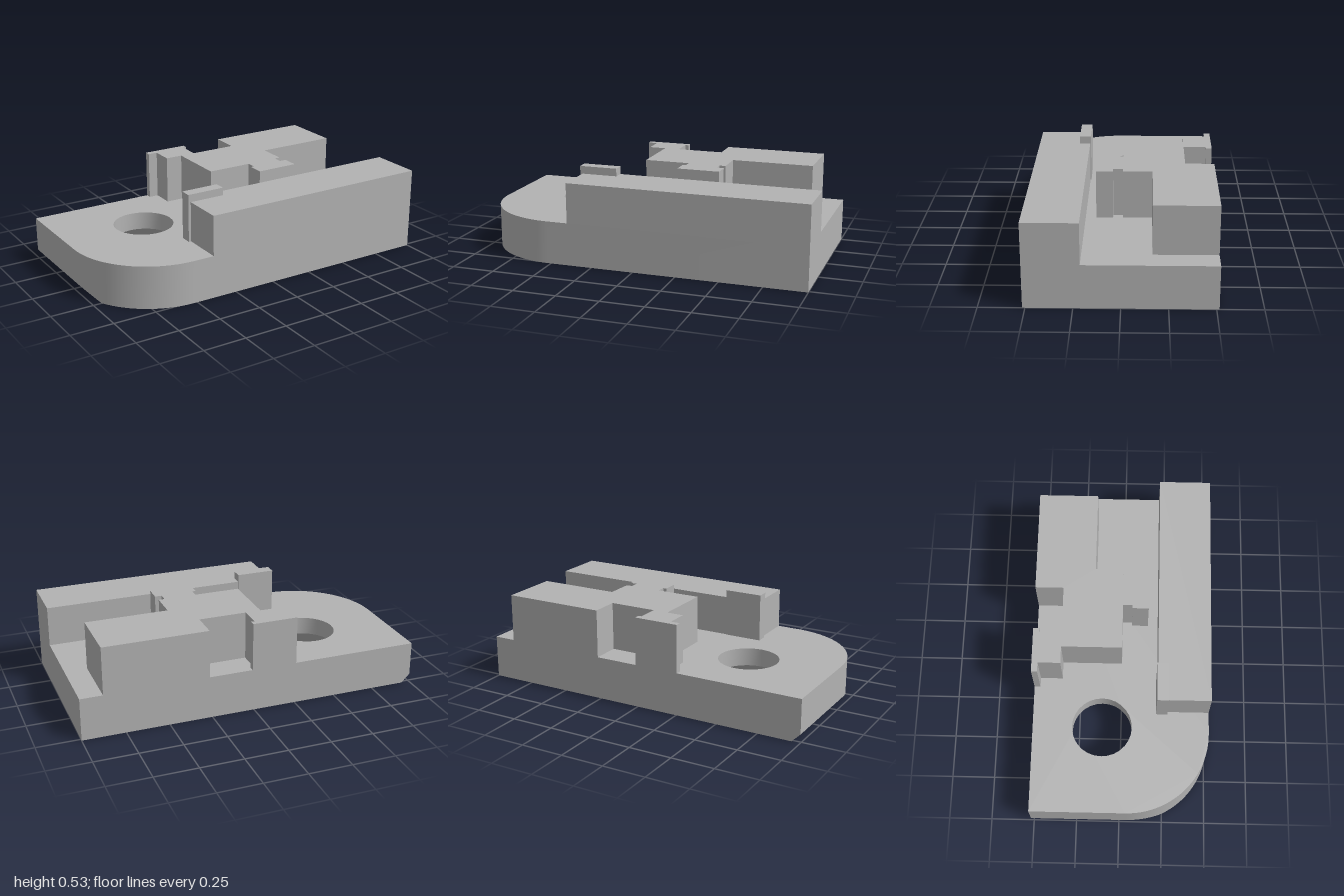
import * as THREE from 'three';
import { mergeGeometries, toCreasedNormals } from 'three/addons/utils/BufferGeometryUtils.js';

const grey = new THREE.MeshStandardMaterial({ color: 0xb2b2b2 });
grey.name = 'grey';

const BASE_H = 0.25, HALF_D = 0.515, CHAMFER_X = -0.95;
const V2 = (x, y) => new THREE.Vector2(x, y);

// Side faces between successive closed rings of [x, y, z] points
function loft(rings) {
  const pos = [];
  for (let r = 0; r < rings.length - 1; r++) {
    const lo = rings[r], hi = rings[r + 1], n = lo.length;
    const same = i => lo[i].every((v, k) => Math.abs(v - hi[i][k]) < 1e-6);
    for (let i = 0; i < n; i++) {
      const j = (i + 1) % n;
      if (!same(j)) pos.push(...lo[i], ...lo[j], ...hi[j]);
      if (!same(i)) pos.push(...lo[i], ...hi[j], ...hi[i]);
    }
  }
  const g = new THREE.BufferGeometry();
  g.setAttribute('position', new THREE.Float32BufferAttribute(pos, 3));
  return toCreasedNormals(g, 0.5);
}

// Flat horizontal face with a hole, given in (x, -z); side is 1 for up, -1 for down
function cap(outline, hole, y, side) {
  const place = pts => pts.map(p => V2(p.x, p.y * side));
  const shape = new THREE.Shape(place(outline));
  shape.holes.push(new THREE.Path(place(hole)));
  const g = new THREE.ShapeGeometry(shape).rotateX(-side * Math.PI / 2).translate(0, y, 0).toNonIndexed();
  g.deleteAttribute('uv');
  return g;
}

function circle(r, n = 28) {
  return Array.from({ length: n }, (_, i) => {
    const a = -i / n * Math.PI * 2;
    return V2(-0.495 + r * Math.cos(a), 0.11 + r * Math.sin(a));
  });
}

// Plate with one round corner, a chamfered end and a countersunk hole
function baseGeometry() {
  const outline = [V2(1, -HALF_D), V2(1, HALF_D), V2(-1, HALF_D)];
  for (let i = 0; i <= 24; i++) {
    const a = Math.PI * (1 + i / 48);
    outline.push(V2(-0.52 + 0.48 * Math.cos(a), -0.035 + 0.48 * Math.sin(a)));
  }
  const foot = outline.map(p => V2(Math.max(p.x, CHAMFER_X), p.y));
  const at = (pts, y) => pts.map(p => [p.x, y, -p.y]);
  const chamferTop = outline.map(p => [p.x, Math.max(0, CHAMFER_X - p.x), -p.y]);
  const mouth = circle(0.32), bore = circle(0.175);
  return mergeGeometries([
    loft([at(foot, 0), chamferTop, at(outline, BASE_H)]),
    loft([at(mouth, 0), at(bore, 0.145), at(bore, BASE_H)]),
    cap(outline, bore, BASE_H, 1),
    cap(foot, mouth, 0, -1),
  ]);
}

// Stepped raised block, drawn as x, z corners
function blockGeometry() {
  const corners = [
    [-0.255, -HALF_D], [-0.255, -0.48], [-0.2, -0.48], [-0.2, -0.35], [-0.1, -0.35], [-0.1, 0],
    [0.165, 0], [0.165, 0.055], [0.145, 0.055], [0.145, 0.15], [0.395, 0.15], [0.395, 0.055],
    [0.355, 0.055], [0.355, 0], [0.39, 0], [0.39, -0.165], [0.87, -0.165], [0.87, -HALF_D],
    [0.265, -HALF_D], [0.265, -0.35], [-0.01, -0.35], [-0.01, -0.48], [0.01, -0.48], [0.01, -HALF_D],
  ];
  const shape = new THREE.Shape(corners.map(([x, z]) => V2(x, -z)));
  return new THREE.ExtrudeGeometry(shape, { depth: 0.53 - BASE_H, bevelEnabled: false })
    .rotateX(-Math.PI / 2).translate(0, BASE_H, 0);
}

// Box standing on the base, from its limits
function box(x0, x1, z0, z1, top) {
  return new THREE.BoxGeometry(x1 - x0, top - BASE_H, z1 - z0)
    .translate((x0 + x1) / 2, (top + BASE_H) / 2, (z0 + z1) / 2);
}

export function createModel() {
  const model = new THREE.Group();
  model.name = 'steppedBracket';
  const add = (name, geometry) => {
    const mesh = new THREE.Mesh(geometry, grey);
    mesh.name = name;
    model.add(mesh);
  };
  add('basePlate', baseGeometry());
  add('steppedBlock', blockGeometry());
  add('frontRail', box(-0.395, 1, 0.21, HALF_D, 0.485));
  add('railTab', box(-0.41, -0.185, 0.205, 0.272, 0.53));
  return model;
}
